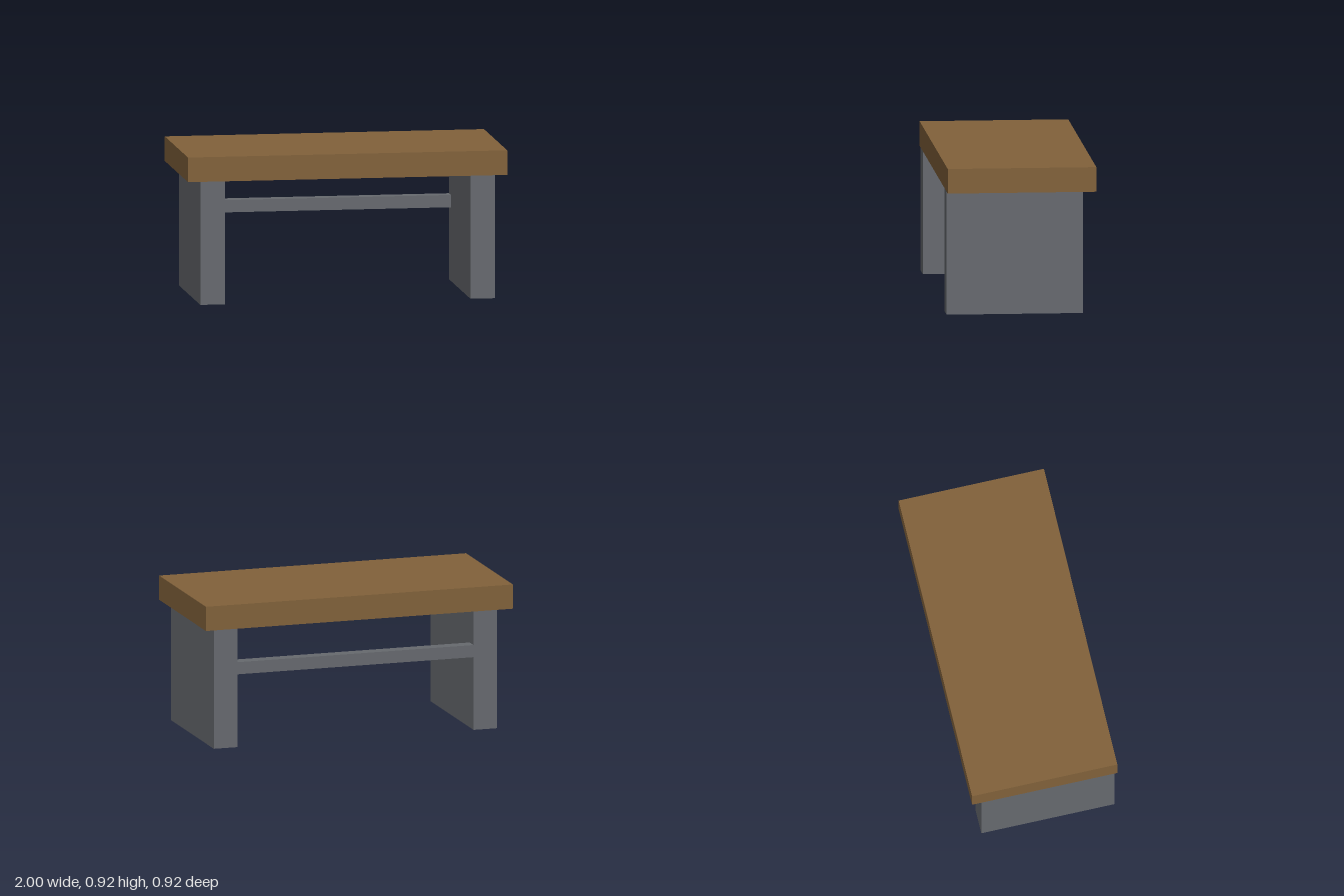
import * as THREE from 'three';

const U = 1 / 13; // design grid unit

// Box between two corners given in grid units
function box(name, min, max, material) {
  const size = max.map((v, i) => (v - min[i]) * U);
  const mesh = new THREE.Mesh(new THREE.BoxGeometry(...size), material);
  mesh.name = name;
  mesh.position.set(...max.map((v, i) => ((v + min[i]) / 2) * U));
  return mesh;
}

export function createModel() {
  const wood = new THREE.MeshStandardMaterial({ color: 0x82623b });
  wood.name = 'brown wood';
  const metal = new THREE.MeshStandardMaterial({ color: 0x676a6f, side: THREE.DoubleSide });
  metal.name = 'grey metal';

  const table = new THREE.Group();
  table.name = 'table';

  // Thick top slab
  table.add(box('tableTop', [-13, 10, -6], [13, 12, 6], wood));

  // Hollow panel legs, open at top and bottom, flush with the front edge
  for (const [name, x] of [['rightLeg', -12], ['leftLeg', 10]]) {
    const leg = box(name, [x, 0, -5], [x + 2, 10, 6], metal);
    const index = Array.from(leg.geometry.index.array);
    index.splice(12, 12); // drop the top and bottom faces
    leg.geometry.setIndex(index);
    leg.geometry.clearGroups();
    table.add(leg);
  }

  // Crossbar between the legs, flush with their back edges
  table.add(box('crossbar', [-10, 6, -5], [10, 7, -4], metal));

  return table;
}
